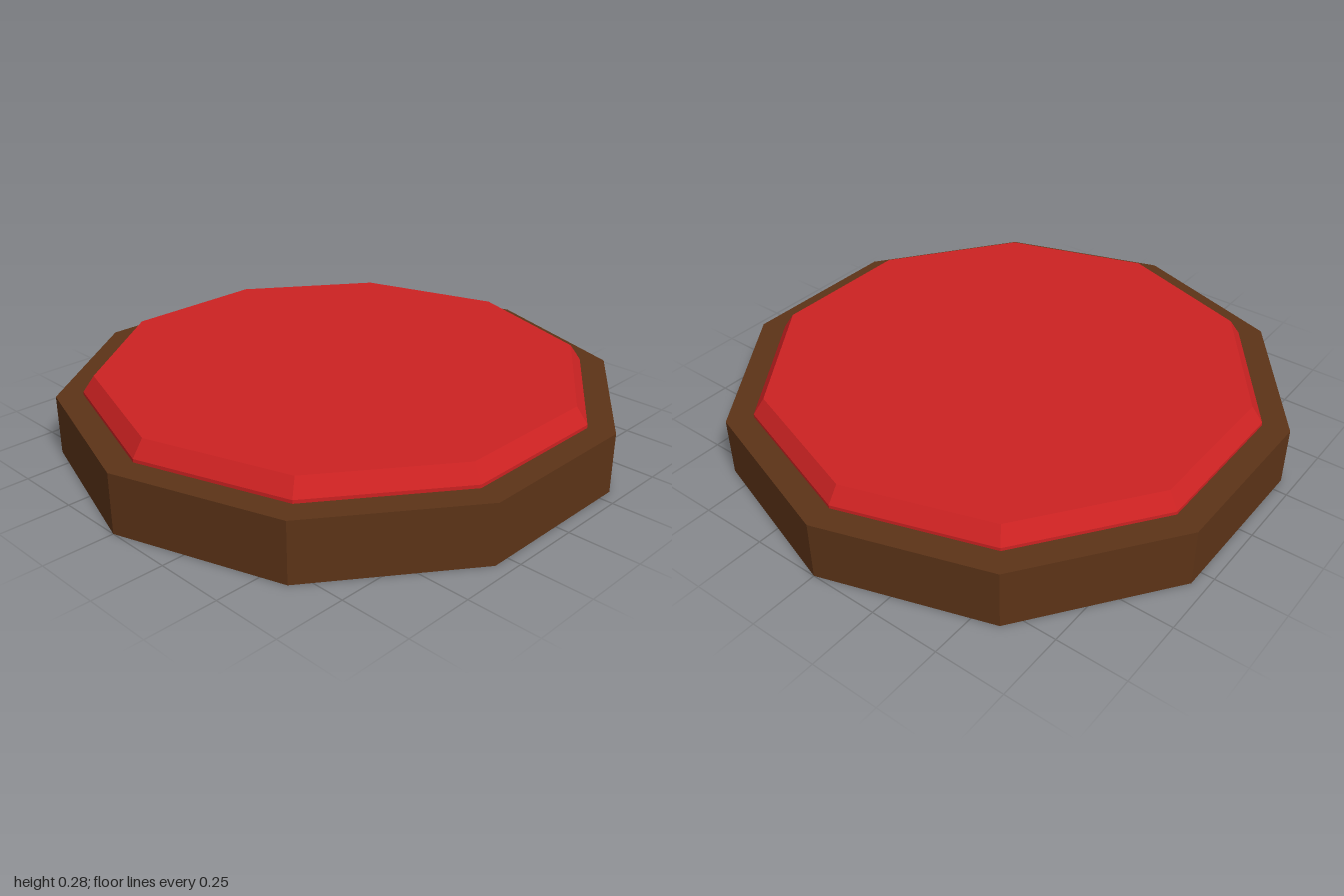
import * as THREE from 'three';

const SIDES = 10;

// A ten-sided tapered slab standing between two heights.
function slab(name, material, bottomRadius, topRadius, y0, y1, openEnded = false) {
  const geometry = new THREE.CylinderGeometry(topRadius, bottomRadius, y1 - y0, SIDES, 1, openEnded);
  const mesh = new THREE.Mesh(geometry, material);
  mesh.name = name;
  mesh.position.y = (y0 + y1) / 2;
  return mesh;
}

export function createModel() {
  const wood = new THREE.MeshStandardMaterial({ color: 0x5c3317, flatShading: true });
  const red = new THREE.MeshStandardMaterial({ color: 0xcc2222, flatShading: true });

  const model = new THREE.Group();
  model.name = 'buttonPad';

  // Wooden base
  model.add(slab('base', wood, 1, 1, 0, 0.215));

  // Red pad: short upright rim, then a bevel up to the flat top
  const pad = new THREE.Group();
  pad.name = 'pad';
  pad.add(slab('padRim', red, 0.905, 0.905, 0.215, 0.227, true));
  pad.add(slab('padTop', red, 0.905, 0.865, 0.227, 0.285));
  model.add(pad);

  return model;
}
